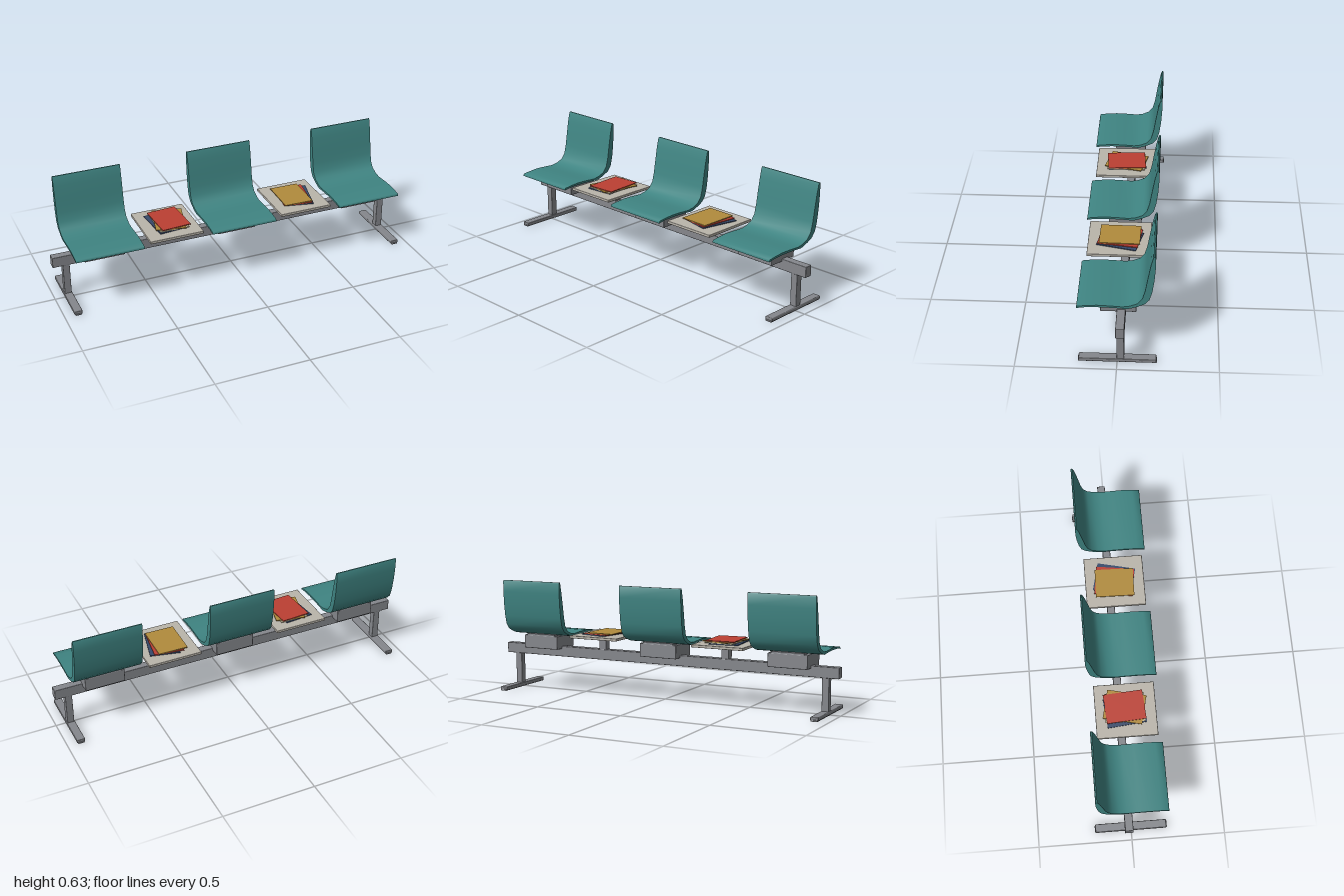
import * as THREE from 'three';
import { toCreasedNormals } from 'three/addons/utils/BufferGeometryUtils.js';
import { RoundedBoxGeometry } from 'three/addons/geometries/RoundedBoxGeometry.js';

const paint = (name, color) => {
  const m = new THREE.MeshStandardMaterial({ color });
  m.name = name;
  return m;
};

// Seat shell cross-section: [distance behind centre, height]
const SHELL = [
  [-0.196, 0.314], [-0.18, 0.317], [-0.153, 0.321], [-0.1, 0.323], [-0.046, 0.322], [0, 0.32],
  [0.046, 0.316], [0.07, 0.322], [0.1, 0.333], [0.132, 0.349], [0.155, 0.376], [0.168, 0.426],
  [0.177, 0.492], [0.182, 0.563], [0.182, 0.621], [0.179, 0.627], [0.173, 0.627], [0.168, 0.615],
  [0.158, 0.572], [0.144, 0.492], [0.134, 0.43], [0.121, 0.381], [0.098, 0.351], [0.061, 0.335],
  [0.025, 0.329], [-0.037, 0.333], [-0.096, 0.335], [-0.153, 0.331], [-0.191, 0.326], [-0.196, 0.32],
];

export function createModel() {
  const model = new THREE.Group();
  model.name = 'waitingBench';

  const steel = paint('steelGrey', 0x85878c);
  const teal = paint('seatTeal', 0x3f8482);
  const stone = paint('tableStone', 0xbab5ab);
  const red = paint('coverRed', 0xbc4033);
  const mustard = paint('coverMustard', 0xb18b3c);
  const navy = paint('coverNavy', 0x36496a);
  const cream = paint('coverCream', 0xc4b896);

  const box = (name, mat, size, pos, r = 0, parent = model) => {
    const geo = r ? new RoundedBoxGeometry(...size, 2, r) : new THREE.BoxGeometry(...size);
    const mesh = new THREE.Mesh(geo, mat);
    mesh.name = name;
    mesh.position.set(...pos);
    parent.add(mesh);
    return mesh;
  };

  // Main beam
  box('beam', steel, [2, 0.058, 0.043], [0, 0.224, -0.016], 0.003);

  // Legs with T-shaped feet
  for (const side of [-1, 1]) {
    const x = side * 0.927;
    box('legPost', steel, [0.037, 0.18, 0.036], [x, 0.108, -0.016], 0.002);
    box('foot', steel, [0.044, 0.019, 0.382], [x, 0.0135, -0.001], 0.004);
    box('footRunner', steel, [0.035, 0.009, 0.388], [x, 0.0045, -0.001], 0.002);
  }

  // Seats: extruded shell on a bracket housing
  const shellWidth = 0.366;
  const shape = new THREE.Shape(SHELL.map(([x, y]) => new THREE.Vector2(x, y)));
  let shellGeo = new THREE.ExtrudeGeometry(shape, { depth: shellWidth, bevelEnabled: false });
  shellGeo.translate(0, 0, -shellWidth / 2);
  shellGeo.rotateY(Math.PI / 2);
  shellGeo = toCreasedNormals(shellGeo, 0.75);
  for (const x of [-0.741, 0, 0.741]) {
    const seat = new THREE.Group();
    seat.name = 'seat';
    seat.position.x = x;
    const shell = new THREE.Mesh(shellGeo, teal);
    shell.name = 'seatShell';
    seat.add(shell);
    box('seatBracket', steel, [0.217, 0.074, 0.176], [0, 0.276, -0.0015], 0.003, seat);
    box('seatMount', steel, [0.18, 0.01, 0.146], [0, 0.316, -0.016], 0, seat);
    model.add(seat);
  }

  // Side tables with stacked magazines: [cover, x, z, turn], bottom first
  const stacks = [
    [-0.372, [[navy, -0.004, 0.01, 0.1], [cream, 0.012, 0.01, -0.02],
      [mustard, 0.013, 0.01, -0.23], [red, 0.013, 0.01, 0.07]]],
    [0.369, [[navy, 0.011, 0.012, -0.23], [red, -0.003, 0.012, -0.14], [mustard, -0.013, 0.012, -0.02]]],
  ];
  for (const [x, pile] of stacks) {
    const table = new THREE.Group();
    table.name = 'sideTable';
    table.position.x = x;
    box('tableTop', stone, [0.294, 0.015, 0.324], [0, 0.3275, 0.014], 0.003, table);
    box('tablePost', steel, [0.04, 0.072, 0.04], [0, 0.285, -0.016], 0, table);
    pile.forEach(([cover, mx, mz, turn], i) => {
      const mag = box('magazine', cover, [0.16, 0.0045, 0.21], [mx, 0.3375 + i * 0.005, mz], 0, table);
      mag.rotation.y = turn;
    });
    model.add(table);
  }
  return model;
}
